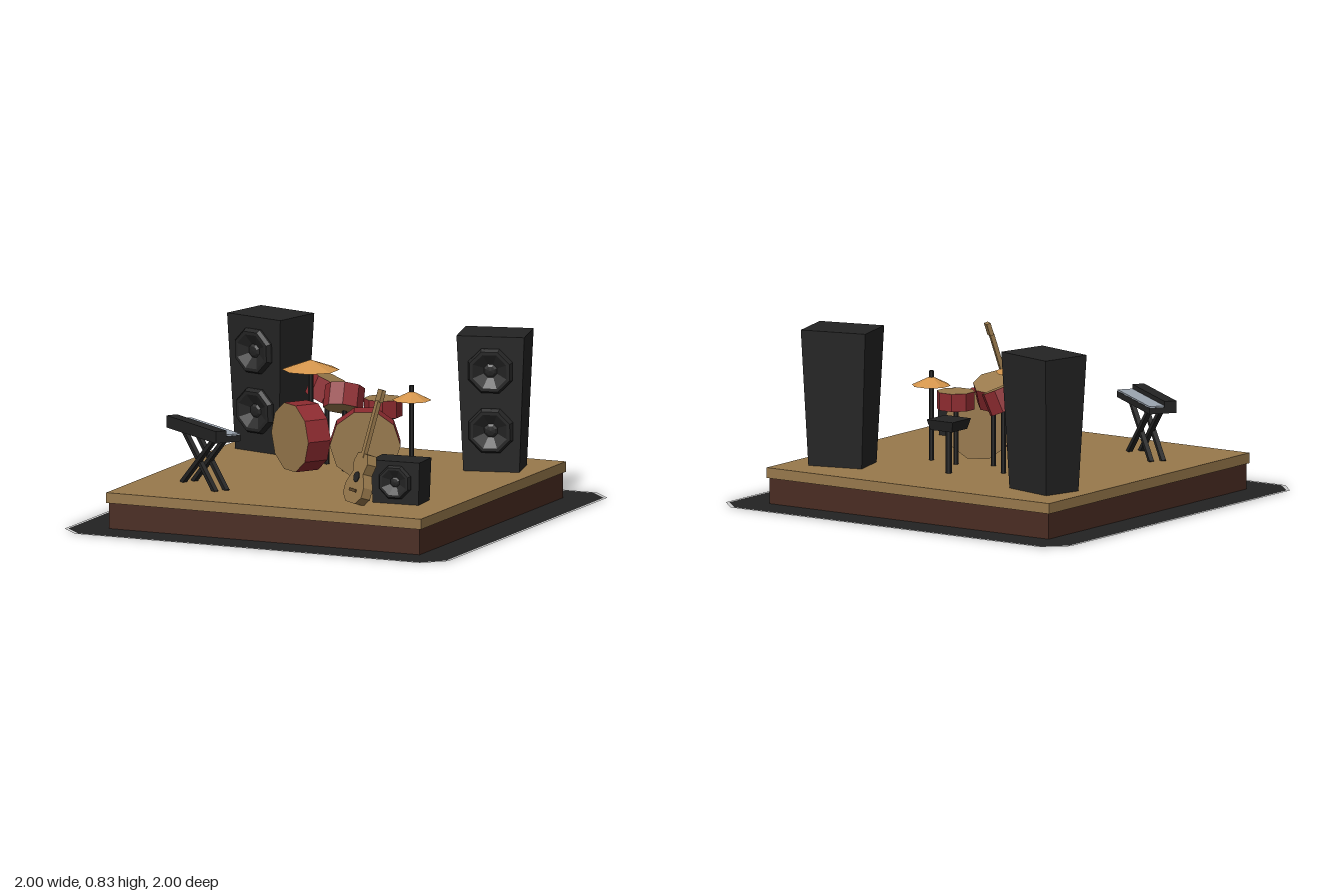
import * as THREE from 'three';

const mat = (name, color, extra = {}) => new THREE.MeshStandardMaterial({ name, color, ...extra });

export function createModel() {
  const root = new THREE.Group();
  root.name = 'bandStage';
  const black = mat('black', 0x242424);
  const rug = mat('groundBlack', 0x232323, { side: THREE.DoubleSide });
  const trim = mat('paleTrim', 0xcccccc, { side: THREE.DoubleSide });
  const wood = mat('tanWood', 0x98794c);
  const maroon = mat('maroonBrown', 0x4a2c22);
  const red = mat('drumRed', 0x8e2b30);
  const brass = mat('brass', 0xd4954c);
  const keyGrey = mat('keyGrey', 0x9ca5b0);
  const darkWood = mat('darkWood', 0x5a4429);

  // Faceted normals for the low-poly look
  const flat = (g) => {
    const f = g.index ? g.toNonIndexed() : g;
    f.computeVertexNormals();
    return f;
  };
  const add = (parent, name, geo, material, x = 0, y = 0, z = 0) => {
    const m = new THREE.Mesh(flat(geo), material);
    m.name = name;
    m.position.set(x, y, z);
    parent.add(m);
    return m;
  };
  const group = (name, x, y, z, ry = 0) => {
    const g = new THREE.Group();
    g.name = name;
    g.position.set(x, y, z);
    g.rotation.y = ry;
    root.add(g);
    return g;
  };
  const box = (w, h, d) => new THREE.BoxGeometry(w, h, d);
  const post = (name, x, z, y0, y1, r = 0.012) =>
    add(root, name, new THREE.CylinderGeometry(r, r, y1 - y0, 6), black, x, (y0 + y1) / 2, z);

  // Square outline with cut corners
  const outline = (s, c) => [[s, c - s], [s, s - c], [s - c, s], [c - s, s], [-s, s - c], [-s, c - s], [c - s, -s], [s - c, -s]]
    .map(([x, y]) => new THREE.Vector2(x, y));
  const square = (s) => [[s, -s], [s, s], [-s, s], [-s, -s]].map(([x, y]) => new THREE.Vector2(x, y));
  const ring = (outer, inner) => {
    const shape = new THREE.Shape(outer);
    shape.holes.push(new THREE.Path(inner));
    return shape;
  };

  // Ground border and its pale edge
  const borderEdge = outline(0.985, 0.095);
  add(root, 'groundBorder', new THREE.ShapeGeometry(ring(borderEdge, square(0.8))).rotateX(-Math.PI / 2), rug, 0, 0.001, 0);
  add(root, 'groundTrim', new THREE.ShapeGeometry(ring(outline(1, 0.1), borderEdge)).rotateX(-Math.PI / 2), trim, 0, 0.001, 0);

  // Hollow stage: skirt, lip and deck
  const frame = (o, i, h) =>
    new THREE.ExtrudeGeometry(ring(square(o), square(i)), { depth: h, bevelEnabled: false }).rotateX(-Math.PI / 2);
  add(root, 'stageSkirt', frame(0.81, 0.8, 0.125), maroon);
  add(root, 'stageLip', frame(0.82, 0.8, 0.05), wood, 0, 0.125, 0);
  add(root, 'stageDeck', box(1.62, 0.006, 1.62), wood, 0, 0.172, 0);

  // Cabinet that narrows toward its base
  const cabinet = (w, h, d, wBase, dBase) => {
    const g = box(w, h, d);
    const p = g.attributes.position;
    for (let i = 0; i < p.count; i++) {
      if (p.getY(i) < 0) p.setXYZ(i, p.getX(i) * wBase / w, p.getY(i), p.getZ(i) * dBase / d);
    }
    return g;
  };
  // Eight-sided driver facing +z
  const driver = (r) => new THREE.LatheGeometry(
    [[1, -0.15], [1, 0.12], [0.9, 0.27], [0.76, 0.27], [0.3, 0.04], [0.2, 0.1], [0, 0.12]]
      .map(([a, b]) => new THREE.Vector2(a * r, b * r)), 8, Math.PI / 8).rotateX(Math.PI / 2);

  // Tall speakers
  for (const s of [-1, 1]) {
    const g = group(s < 0 ? 'rightSpeaker' : 'leftSpeaker', s * 0.585, 0.175, -0.53, s * 0.255);
    add(g, 'cabinet', cabinet(0.326, 0.655, 0.254, 0.27, 0.2), black, 0, 0.3275, 0);
    add(g, 'upperDriver', driver(0.115), black, 0, 0.49, 0.119).rotation.x = 0.04;
    add(g, 'lowerDriver', driver(0.115), black, 0, 0.2, 0.108).rotation.x = 0.04;
  }

  // Small amplifier
  const amp = group('amplifier', 0.54, 0.175, 0.435, 0.07);
  add(amp, 'cabinet', cabinet(0.246, 0.205, 0.16, 0.232, 0.15), black, 0, 0.1025, 0);
  add(amp, 'driver', driver(0.085), black, 0, 0.105, 0.078);

  // Drums: red shell with tan heads, axis given as a direction
  const drum = (name, r, h, sides, pos, axis) => {
    const geo = new THREE.CylinderGeometry(r, r, h, sides, 1, false, Math.PI / sides);
    const m = add(root, name, geo, [red, wood, wood], ...pos);
    m.quaternion.setFromUnitVectors(new THREE.Vector3(0, 1, 0), new THREE.Vector3(...axis).normalize());
  };
  const bassDrum = (name, x, z, ry) => {
    const g = group(name, x, 0.343, z, ry);
    const geo = new THREE.CylinderGeometry(0.168, 0.168, 0.125, 10, 1, false, Math.PI / 10).rotateX(Math.PI / 2);
    add(g, 'shell', geo, [red, wood, wood], 0, 0, -0.0625);
  };
  bassDrum('rightBassDrum', -0.25, -0.02, -0.59);
  bassDrum('leftBassDrum', 0.163, 0.024, 0.427);
  drum('rackTom', 0.095, 0.11, 8, [-0.025, 0.53, -0.145], [-0.08, 0.9, -0.42]);
  drum('sideTom', 0.09, 0.11, 8, [-0.185, 0.535, -0.3], [0.36, 0.9, -0.12]);
  drum('snareDrum', 0.092, 0.085, 8, [0.14, 0.485, -0.23], [0, 1, 0]);
  post('rackTomPost', -0.03, -0.16, 0.17, 0.48);
  post('sideTomPost', -0.18, -0.29, 0.17, 0.49);
  post('snarePost', 0.14, -0.23, 0.17, 0.45);

  // Cymbals on stands
  const cymbal = (name, x, z, y, r, h) =>
    add(root, name, new THREE.ConeGeometry(r, h, 8, 1, false, Math.PI / 8), brass, x, y + h / 2, z);
  cymbal('largeCymbal', -0.21, -0.17, 0.648, 0.137, 0.047);
  cymbal('smallCymbal', 0.3, -0.205, 0.535, 0.094, 0.045);
  post('largeCymbalStand', -0.21, -0.17, 0.17, 0.66);
  post('smallCymbalStand', 0.3, -0.205, 0.17, 0.605);

  // Drummer's stool
  add(root, 'stoolSeat', cabinet(0.15, 0.05, 0.15, 0.125, 0.125), black, 0.035, 0.41, -0.435);
  post('stoolPost', 0.035, -0.435, 0.17, 0.39, 0.016);

  // Keyboard on a crossed stand
  const kb = group('keyboard', -0.477, 0, 0.463, -0.63);
  add(kb, 'body', box(0.48, 0.03, 0.134), black, 0, 0.437, 0);
  add(kb, 'controlPanel', box(0.48, 0.03, 0.058), black, 0, 0.465, 0.038);
  add(kb, 'keys', box(0.475, 0.008, 0.073), keyGrey, 0, 0.455, -0.029);
  for (const z of [-0.03, 0.03]) {
    for (const s of [-1, 1]) {
      add(kb, 'standLeg', box(0.39, 0.022, 0.022), black, 0.01, 0.295, z + s * 0.006).rotation.z = s * 0.69;
    }
  }

  // Guitar leaning back toward the amplifier
  const guitar = group('guitar', 0.375, 0.18, 0.605, -0.63);
  const lean = new THREE.Group();
  lean.name = 'leaningGuitar';
  lean.rotation.x = -0.3;
  guitar.add(lean);
  const side = [[0.045, 0], [0.088, 0.035], [0.088, 0.085], [0.05, 0.145], [0.066, 0.195], [0.045, 0.24]];
  const body = new THREE.Shape([...side, ...side.map(([x, y]) => [-x, y]).reverse()].map(([x, y]) => new THREE.Vector2(x, y)));
  add(lean, 'body', new THREE.ExtrudeGeometry(body, { depth: 0.05, bevelEnabled: false }), wood, 0, 0, -0.025);
  add(lean, 'soundHole', new THREE.CylinderGeometry(0.026, 0.026, 0.006, 8).rotateX(Math.PI / 2), black, 0, 0.125, 0.026);
  add(lean, 'bridge', box(0.06, 0.014, 0.008), darkWood, 0, 0.06, 0.028);
  add(lean, 'neck', box(0.026, 0.28, 0.02), wood, 0, 0.36, 0.018);
  add(lean, 'headstock', box(0.044, 0.06, 0.02), wood, 0, 0.524, 0.014);

  return root;
}
